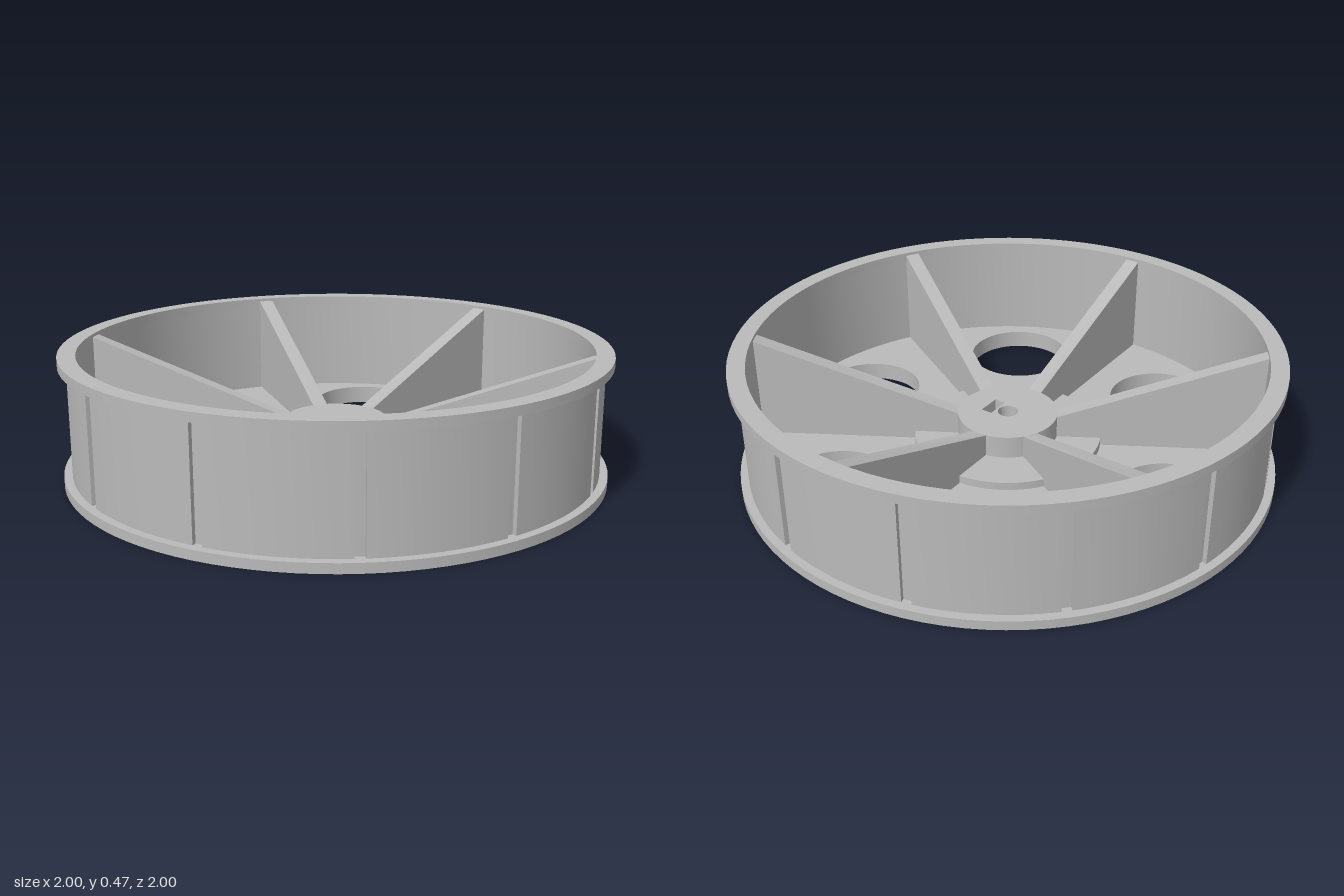
import * as THREE from 'three';
import { toCreasedNormals } from 'three/addons/utils/BufferGeometryUtils.js';

const grey = new THREE.MeshStandardMaterial({ color: 0xbababa });
grey.name = 'plain grey';

function add(group, name, geometry) {
  const mesh = new THREE.Mesh(toCreasedNormals(geometry, 0.5), grey);
  mesh.name = name;
  group.add(mesh);
  return mesh;
}

// Flat shape laid on the ground plane and raised from y0 to y1
function slab(shape, y0, y1) {
  return new THREE.ExtrudeGeometry(shape, { depth: y1 - y0, bevelEnabled: false, curveSegments: 48 })
    .rotateX(-Math.PI / 2).translate(0, y0, 0);
}

// Closed counter-clockwise profile of [radius, y], spun round the axis
function spun(profile) {
  const pts = [...profile, profile[0]].map(([r, y]) => new THREE.Vector2(r, y));
  return new THREE.LatheGeometry(pts, 96);
}

function ring(r0, r1, y0, y1) {
  return spun([[r0, y0], [r1, y0], [r1, y1], [r0, y1]]);
}

function circle(x, y, r) {
  return new THREE.Path().absarc(x, y, r, 0, Math.PI * 2, true);
}

export function createModel() {
  const wheel = new THREE.Group();
  wheel.name = 'wheel';

  // Floor disc with six round openings and the underside recess
  const floor = new THREE.Shape().absarc(0, 0, 0.95, 0, Math.PI * 2, false);
  floor.holes.push(circle(0, 0, 0.308));
  for (let i = 0; i < 6; i++) {
    const a = i * Math.PI / 3;
    floor.holes.push(circle(0.68 * Math.cos(a), 0.68 * Math.sin(a), 0.2));
  }
  add(wheel, 'floorDisc', slab(floor, 0, 0.07));

  // Flanges at the bottom and top edge
  add(wheel, 'lowerFlange', ring(0.95, 1, 0, 0.035));
  add(wheel, 'upperFlange', ring(0.935, 1, 0.437, 0.47));

  // Drum wall with twelve shallow outside grooves
  const outer = [];
  const half = 0.0175 / 0.97;
  const step = Math.PI / 6;
  for (let i = 0; i < 12; i++) {
    const a = (i + 0.5) * step;
    const put = (r, t) => outer.push(new THREE.Vector2(r * Math.cos(t), r * Math.sin(t)));
    put(0.953, a - half);
    put(0.953, a + half);
    for (let k = 0; k <= 8; k++) put(0.97, a + half + (step - 2 * half) * k / 8);
  }
  const drum = new THREE.Shape(outer);
  drum.holes.push(circle(0, 0, 0.935));
  add(wheel, 'drumWall', slab(drum, 0.035, 0.437));

  // Raised centre plate with the bearing collar beneath
  add(wheel, 'centrePlate', spun([
    [0.038, 0.01], [0.065, 0.01], [0.065, 0.055], [0.35, 0.055], [0.35, 0.1], [0.038, 0.1],
  ]));

  // Hub with axle bore and nut slot
  const hub = new THREE.Shape().absarc(0, 0, 0.187, 0, Math.PI * 2, false);
  hub.holes.push(circle(0, 0, 0.038));
  hub.holes.push(new THREE.Path([
    [0.045, -0.045], [0.045, 0.045], [0.088, 0.045], [0.088, -0.045],
  ].map(([x, y]) => new THREE.Vector2(x, y))));
  add(wheel, 'hub', slab(hub, 0.1, 0.185));

  // Small set screw in the hub side
  add(wheel, 'setScrew', new THREE.CylinderGeometry(0.018, 0.018, 0.05, 20)
    .rotateZ(Math.PI / 2).translate(0.174, 0.14, 0));

  // Six sloping spoke walls
  const web = new THREE.Shape([
    [0.17, 0.06], [0.94, 0.06], [0.94, 0.46], [0.187, 0.184], [0.17, 0.184],
  ].map(([r, y]) => new THREE.Vector2(r, y)));
  for (let i = 0; i < 6; i++) {
    const geometry = new THREE.ExtrudeGeometry(web, { depth: 0.056, bevelEnabled: false })
      .translate(0, 0, -0.028);
    add(wheel, 'spoke', geometry).rotation.y = (i + 0.5) * Math.PI / 3;
  }

  return wheel;
}
